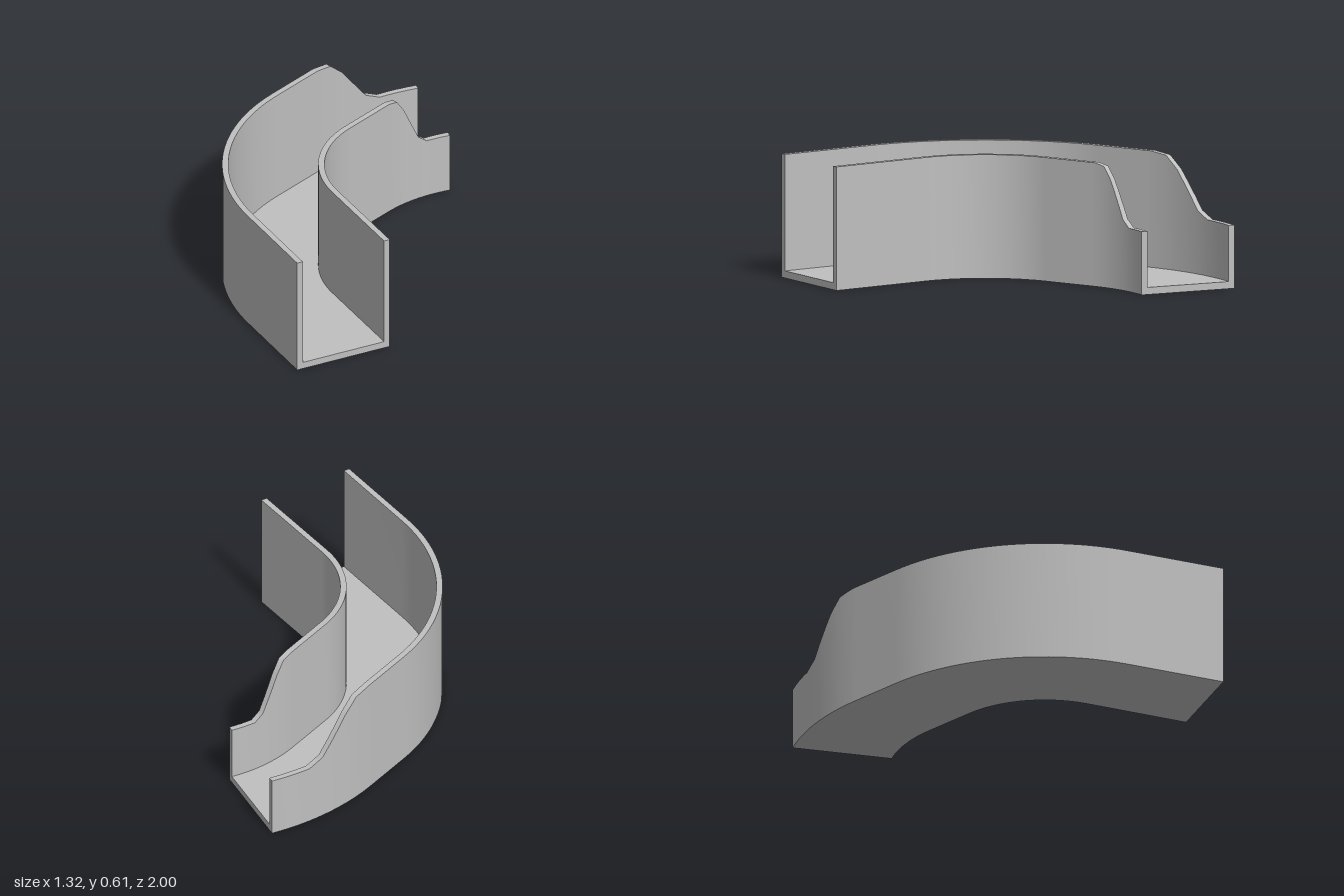
import * as THREE from 'three';

const WALL = 0.03, FLOOR = 0.035, HIGH = 0.605;
const rad = THREE.MathUtils.degToRad;

// Wall height by angle (degrees) along the back bend: low end, ramp, full height
const RAMP = [[30, 0.31], [20, 0.31], [16.2, 0.345], [9, 0.53], [5.5, 0.592], [1, HIGH], [0, HIGH]];

// Stations along the channel from back to front: outer and inner edge plus wall height
function makeStations() {
  const list = [];
  const add = (ox, oz, ix, iz, h) =>
    list.push({ o: new THREE.Vector2(ox, oz), i: new THREE.Vector2(ix, iz), h });
  const arc = (cx, cz, R, r, deg, h) => {
    const c = Math.cos(rad(deg)), s = Math.sin(rad(deg));
    add(cx - R * c, cz + R * s, cx - r * c, cz + r * s, h);
  };
  // gentle back bend, with the ramp
  RAMP.forEach(([a, h], k) => {
    const next = RAMP[k + 1];
    const n = next ? Math.ceil((a - next[0]) / 2.5) : 1;
    for (let j = 0; j < n; j++) {
      const t = j / n;
      arc(0.54, -0.4, 1.2, 0.705, next ? -(a + (next[0] - a) * t) : 0, next ? h + (next[1] - h) * t : h);
    }
  });
  // tight front bend after a short straight
  for (let k = 0; k <= 24; k++) arc(0.345, -0.12, 1.005, 0.51, (70 * k) / 24, HIGH);
  // straight front end
  add(0.46, 0.998, 0.656, 0.54, HIGH);
  return list;
}

// A section point: side 0 = outer edge, 1 = inner edge, inset d towards the middle
function place(st, [side, d, y]) {
  const dir = st.i.clone().sub(st.o).normalize();
  const p = side ? st.i.clone().addScaledVector(dir, -d) : st.o.clone().addScaledVector(dir, d);
  return [p.x, y === 'top' ? st.h : y, p.y];
}

// Loft each section edge as its own strip (sharp corners, smooth along the bend) and cap the ends
function loft(stations, edges, cap) {
  const pos = [], idx = [];
  for (const [a, b] of edges) {
    const base = pos.length / 3;
    stations.forEach((st, k) => {
      pos.push(...place(st, a), ...place(st, b));
      if (k) {
        const q = base + 2 * k - 2;
        idx.push(q, q + 2, q + 1, q + 1, q + 2, q + 3);
      }
    });
  }
  [stations[0], stations[stations.length - 1]].forEach((st, end) => {
    const q = pos.length / 3;
    cap.forEach((c) => pos.push(...place(st, c)));
    if (end) idx.push(q, q + 2, q + 1, q, q + 3, q + 2);
    else idx.push(q, q + 1, q + 2, q, q + 2, q + 3);
  });
  const geo = new THREE.BufferGeometry();
  geo.setAttribute('position', new THREE.Float32BufferAttribute(pos, 3));
  geo.setIndex(idx);
  geo.computeVertexNormals();
  return geo;
}

export function createModel() {
  const group = new THREE.Group();
  group.name = 'curvedChannel';
  const grey = new THREE.MeshStandardMaterial({ color: 0xc0c0c0 });
  grey.name = 'grey';
  const stations = makeStations();
  const part = (name, edges, cap) => {
    const mesh = new THREE.Mesh(loft(stations, edges, cap), grey);
    mesh.name = name;
    group.add(mesh);
  };

  // Section corners, walked from the outer foot over both walls to the inner foot
  const oFoot = [0, 0, 0], oTop = [0, 0, 'top'], oLip = [0, WALL, 'top'], oFloor = [0, WALL, FLOOR];
  const iFloor = [1, WALL, FLOOR], iLip = [1, WALL, 'top'], iTop = [1, 0, 'top'], iFoot = [1, 0, 0];
  const oBase = [0, WALL, 0], iBase = [1, WALL, 0];

  part('outerWall', [[oFoot, oTop], [oTop, oLip], [oLip, oFloor]], [oFoot, oTop, oLip, oBase]);
  part('innerWall', [[iFloor, iLip], [iLip, iTop], [iTop, iFoot]], [iBase, iLip, iTop, iFoot]);
  part('floor', [[oFloor, iFloor], [iFoot, oFoot]], [oBase, oFloor, iFloor, iBase]);
  return group;
}
